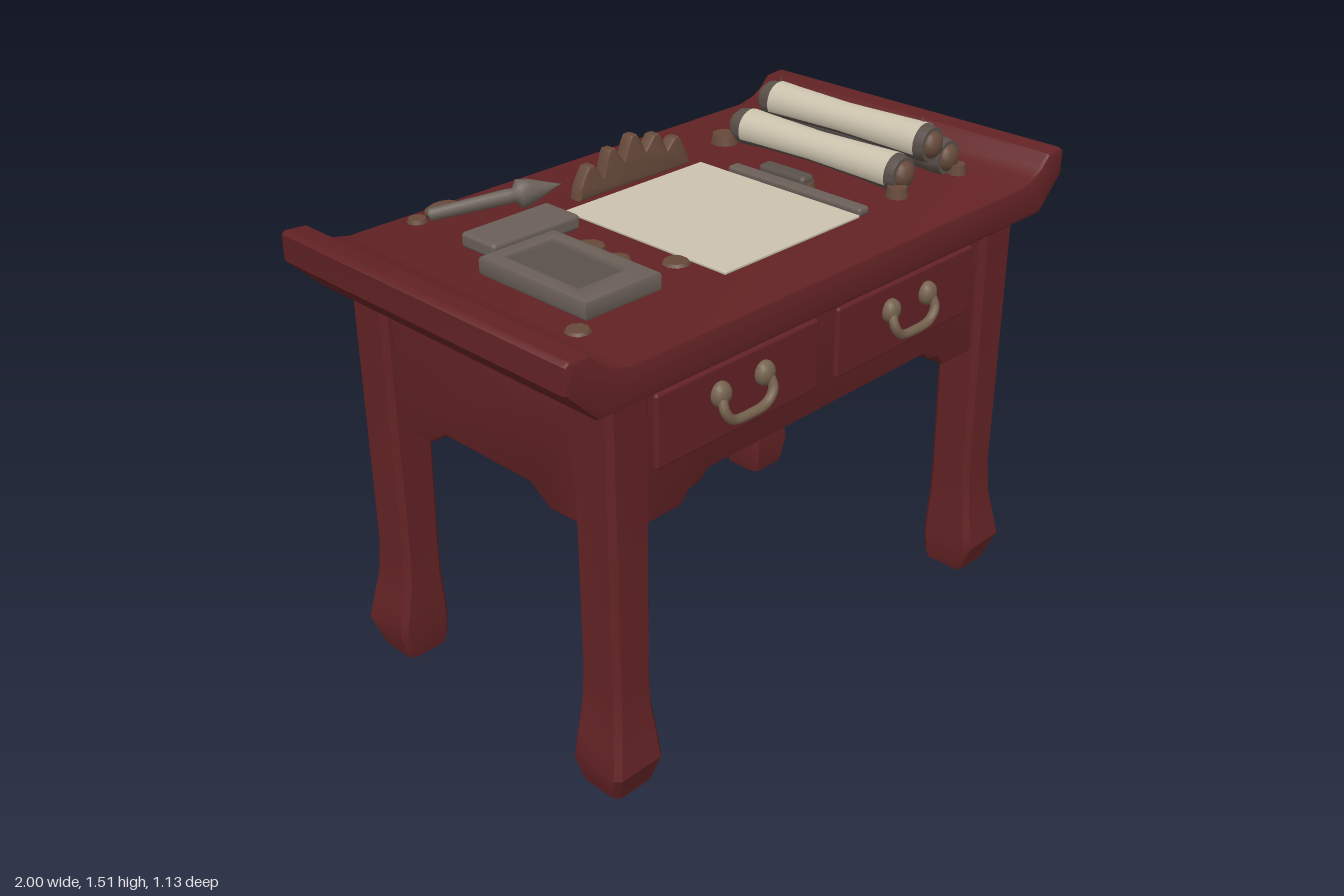
import * as THREE from 'three';
import { toCreasedNormals } from 'three/addons/utils/BufferGeometryUtils.js';
import { RoundedBoxGeometry } from 'three/addons/geometries/RoundedBoxGeometry.js';

const mat = (name, color, side = THREE.FrontSide) => {
  const m = new THREE.MeshStandardMaterial({ color, side });
  m.name = name;
  return m;
};

export function createModel() {
  const root = new THREE.Group();
  root.name = 'writingTable';
  const red = mat('red lacquer', 0x622224);
  const stone = mat('grey stone', 0x6a5f58);
  const darkStone = mat('dark stone', 0x5a504a);
  const brown = mat('brown wood', 0x66493a);
  const bronze = mat('bronze', 0x75624e);
  const paper = mat('paper', 0xcbc2ad, THREE.DoubleSide);
  const TOP = 1.32;

  const add = (name, geo, material, parent = root) => {
    const m = new THREE.Mesh(geo, material);
    m.name = name;
    parent.add(m);
    return m;
  };
  const box = (name, material, x0, x1, y0, y1, z0, z1, r = 0.01, parent = root) => {
    const m = add(name, new RoundedBoxGeometry(x1 - x0, y1 - y0, z1 - z0, 2, r), material, parent);
    m.position.set((x0 + x1) / 2, (y0 + y1) / 2, (z0 + z1) / 2);
    return m;
  };
  // outline extruded along z and centred on it, with a small bevel inside the outline
  const slab = (shape, depth, bevel = 0.01) => {
    const g = new THREE.ExtrudeGeometry(shape, {
      depth: depth - 2 * bevel, bevelEnabled: true, bevelThickness: bevel,
      bevelSize: bevel, bevelOffset: -bevel, bevelSegments: 2, curveSegments: 8,
    });
    g.translate(0, 0, -depth / 2 + bevel);
    return toCreasedNormals(g, 0.6);
  };
  // closed symmetric outline from its right half
  const mirrored = (half) => new THREE.Shape([
    ...half.map(([x, y]) => new THREE.Vector2(x, y)),
    ...half.slice().reverse().map(([x, y]) => new THREE.Vector2(-x, y)),
  ]);

  // Table top with upturned ends
  add('tableTop', slab(mirrored([
    [0.90, 1.21], [1.0, 1.31], [1.0, 1.385], [0.985, 1.395], [0.925, 1.39],
    [0.89, 1.355], [0.85, 1.333], [0.79, TOP],
  ]), 1.13, 0.014), red);

  // Legs: chamfered square sections, swelling into the feet
  const legRings = [ // y, inner x, outer x, inner z, outer z
    [0, 0.70, 0.838, 0.38, 0.52], [0.025, 0.694, 0.846, 0.374, 0.528],
    [0.095, 0.69, 0.866, 0.37, 0.555], [0.17, 0.694, 0.852, 0.371, 0.543],
    [0.26, 0.70, 0.835, 0.374, 0.528], [0.37, 0.698, 0.828, 0.376, 0.52],
    [1.22, 0.685, 0.832, 0.375, 0.52],
  ];
  const legGeometry = (sx, sz) => {
    const pos = [], idx = [], c = 0.016, n = 8;
    for (const [y, a, b, d, e] of legRings) {
      const ring = [[a + c, d], [b - c, d], [b, d + c], [b, e - c], [b - c, e], [a + c, e], [a, e - c], [a, d + c]];
      for (const [x, z] of ring) pos.push(x * sx, y, z * sz);
    }
    const tri = (a, b, d) => (sx * sz > 0 ? idx.push(a, b, d) : idx.push(a, d, b));
    for (let r = 0; r < legRings.length - 1; r++) {
      for (let i = 0; i < n; i++) {
        const p = r * n + i, q = r * n + (i + 1) % n;
        tri(p, p + n, q);
        tri(q, p + n, q + n);
      }
    }
    for (let i = 1; i < n - 1; i++) tri(0, i, i + 1);
    const g = new THREE.BufferGeometry();
    g.setAttribute('position', new THREE.Float32BufferAttribute(pos, 3));
    g.setIndex(idx);
    return toCreasedNormals(g, 0.5);
  };
  for (const sx of [1, -1]) for (const sz of [1, -1]) add('leg', legGeometry(sx, sz), red);

  // Drawer case and side aprons
  box('drawerCase', red, -0.74, 0.74, 0.93, 1.22, -0.46, 0.46);
  const sideShape = mirrored([[0.39, 1.22], [0.39, 0.795], [0.25, 0.79], [0.175, 0.84]].reverse());
  for (const s of [1, -1]) {
    const m = add('sideApron', slab(sideShape, 0.07), red);
    m.rotation.y = Math.PI / 2;
    m.position.x = s * 0.765;
  }

  // Front and back: apron, two drawers, bail handles
  const frontShape = mirrored([
    [0.46, 0.87], [0.485, 0.845], [0.53, 0.835], [0.56, 0.80], [0.71, 0.80], [0.71, 1.22],
  ]);
  const bail = new THREE.CatmullRomCurve3([
    [-0.09, 1.085, 0.02], [-0.092, 1.05, 0.034], [-0.065, 1.018, 0.036], [0, 1.01, 0.036],
    [0.065, 1.018, 0.036], [0.092, 1.05, 0.034], [0.09, 1.085, 0.02],
  ].map((p) => new THREE.Vector3(...p)));
  for (const turn of [0, Math.PI]) {
    const face = new THREE.Group();
    face.name = turn ? 'backFace' : 'frontFace';
    face.rotation.y = turn;
    root.add(face);
    add('apron', slab(frontShape, 0.07), red, face).position.z = 0.46;
    for (const [x0, x1] of [[-0.66, -0.045], [0.035, 0.65]]) {
      box('drawerFront', red, x0, x1, 0.95, 1.165, 0.48, 0.508, 0.009, face);
      const handle = new THREE.Group();
      handle.name = 'handle';
      handle.position.set((x0 + x1) / 2 - 0.003, 0, 0.506);
      face.add(handle);
      add('bail', new THREE.TubeGeometry(bail, 24, 0.014, 8), bronze, handle);
      for (const s of [1, -1]) {
        const rosette = add('rosette', new THREE.SphereGeometry(0.034, 10, 8), bronze, handle);
        rosette.scale.set(1, 1.05, 0.75);
        rosette.position.set(s * 0.083, 1.09, 0.01);
      }
    }
  }

  // Paper sheet
  box('paperSheet', paper, -0.27, 0.28, TOP, TOP + 0.009, -0.25, 0.37, 0.003);

  // Paperweights beside the sheet
  box('paperweight', stone, 0.28, 0.325, TOP, 1.345, -0.14, 0.37, 0.01);
  box('paperweightGrip', darkStone, 0.325, 0.38, TOP, 1.36, -0.06, 0.12, 0.015);

  // Ink stone with a sunken well
  const rim = new THREE.Shape([[-0.13, -0.205], [0.13, -0.205], [0.13, 0.205], [-0.13, 0.205]].map((p) => new THREE.Vector2(...p)));
  rim.holes.push(new THREE.Path([[-0.08, -0.125], [-0.08, 0.155], [0.085, 0.155], [0.085, -0.125]].map((p) => new THREE.Vector2(...p))));
  const rimMesh = add('inkStoneRim', slab(rim, 0.055), stone);
  rimMesh.rotation.x = -Math.PI / 2;
  rimMesh.position.set(-0.583, 1.347, 0.115);
  box('inkStoneWell', darkStone, -0.68, -0.49, TOP, 1.358, -0.06, 0.28, 0.005);

  // Ink block
  box('inkBlock', stone, -0.63, -0.32, TOP, 1.365, -0.27, -0.13, 0.012);

  // Brush propped up, its head higher than its tail
  const brush = add('brush', new THREE.LatheGeometry([
    [0, -0.19], [0.018, -0.185], [0.022, 0.04], [0.02, 0.06], [0.043, 0.075], [0.036, 0.11], [0, 0.2],
  ].map((p) => new THREE.Vector2(...p)), 10), stone);
  brush.quaternion.setFromUnitVectors(new THREE.Vector3(0, 1, 0), new THREE.Vector3(0.34, 0.04, 0.16).normalize());
  brush.position.set(-0.41, 1.36, -0.395);
  const tail = add('brushTail', new THREE.SphereGeometry(0.05, 10, 8), brown);
  tail.scale.set(1.2, 0.4, 0.65);
  tail.position.set(-0.52, 1.338, -0.49);

  // Brush rest with five rounded peaks
  const rest = new THREE.Shape();
  rest.moveTo(-0.185, TOP);
  rest.lineTo(-0.18, 1.355);
  [[-0.133, 1.415], [-0.05, 1.445], [0.038, 1.465], [0.128, 1.445], [0.212, 1.415]].forEach(([x, y], i) => {
    const end = i < 4 ? y - 0.05 - (i < 2 ? 0 : 0.012) : 1.35;
    rest.quadraticCurveTo(x - 0.02, y - 0.01, x - 0.01, y);
    rest.lineTo(x + 0.01, y);
    rest.quadraticCurveTo(x + 0.02, y - 0.01, x + 0.045, end);
  });
  rest.lineTo(0.265, TOP);
  add('brushRest', slab(rest, 0.045, 0.008), brown).position.z = -0.303;

  // Stacked scrolls: cores with end knobs and paper sleeves
  const lathe = (pts, p0 = 0, len = Math.PI * 2) =>
    new THREE.LatheGeometry(pts.map((p) => new THREE.Vector2(...p)), 18, p0, len).rotateX(Math.PI / 2);
  const core = [[0, -0.31], [0.052, -0.31], [0.057, -0.28], [0.05, -0.2], [0.045, 0], [0.05, 0.2], [0.057, 0.3], [0.052, 0.33], [0, 0.33]];
  const sleeve = [[0.059, -0.27], [0.056, -0.2], [0.051, 0], [0.056, 0.2], [0.059, 0.3]];
  for (const [x, y, a, b] of [[0.527, 1.372, 0.45, 1.2], [0.658, 1.43, 0.35, 1.3], [0.742, 1.368, 0.25, 0.35]]) {
    const scroll = new THREE.Group();
    scroll.name = 'scroll';
    scroll.position.set(x, y, 0);
    root.add(scroll);
    add('core', toCreasedNormals(lathe(core), 0.6), darkStone, scroll);
    add('paperSleeve', lathe(sleeve, a * Math.PI, b * Math.PI), paper, scroll);
    for (const z of [-0.315, 0.325]) {
      const knob = add('knob', new THREE.SphereGeometry(0.042, 12, 8), brown, scroll);
      knob.scale.z = 0.75;
      knob.position.z = z;
    }
  }
  // Pins standing on the top scroll
  for (const z of [-0.275, 0.28]) {
    add('pin', new THREE.ConeGeometry(0.008, 0.05, 6), darkStone).position.set(0.67, 1.482, z);
  }

  // Flat pebbles scattered on the top: x, z, radius, height
  for (const [x, z, r, h] of [
    [-0.76, 0.34, 0.035, 0.008], [-0.40, 0.10, 0.04, 0.01], [-0.435, 0.03, 0.05, 0.035], [-0.30, 0.22, 0.04, 0.008],
    [-0.6, -0.5, 0.03, 0.012], [-0.48, -0.51, 0.035, 0.012], [0.475, -0.335, 0.045, 0.03],
    [0.485, 0.34, 0.035, 0.03], [0.76, 0.35, 0.03, 0.03], [0.81, -0.33, 0.022, 0.02], [0.36, 0.1, 0.03, 0.02],
  ]) {
    add('pebble', new THREE.CylinderGeometry(r * 0.85, r, h, 9), brown).position.set(x, TOP + h / 2, z);
  }
  return root;
}
